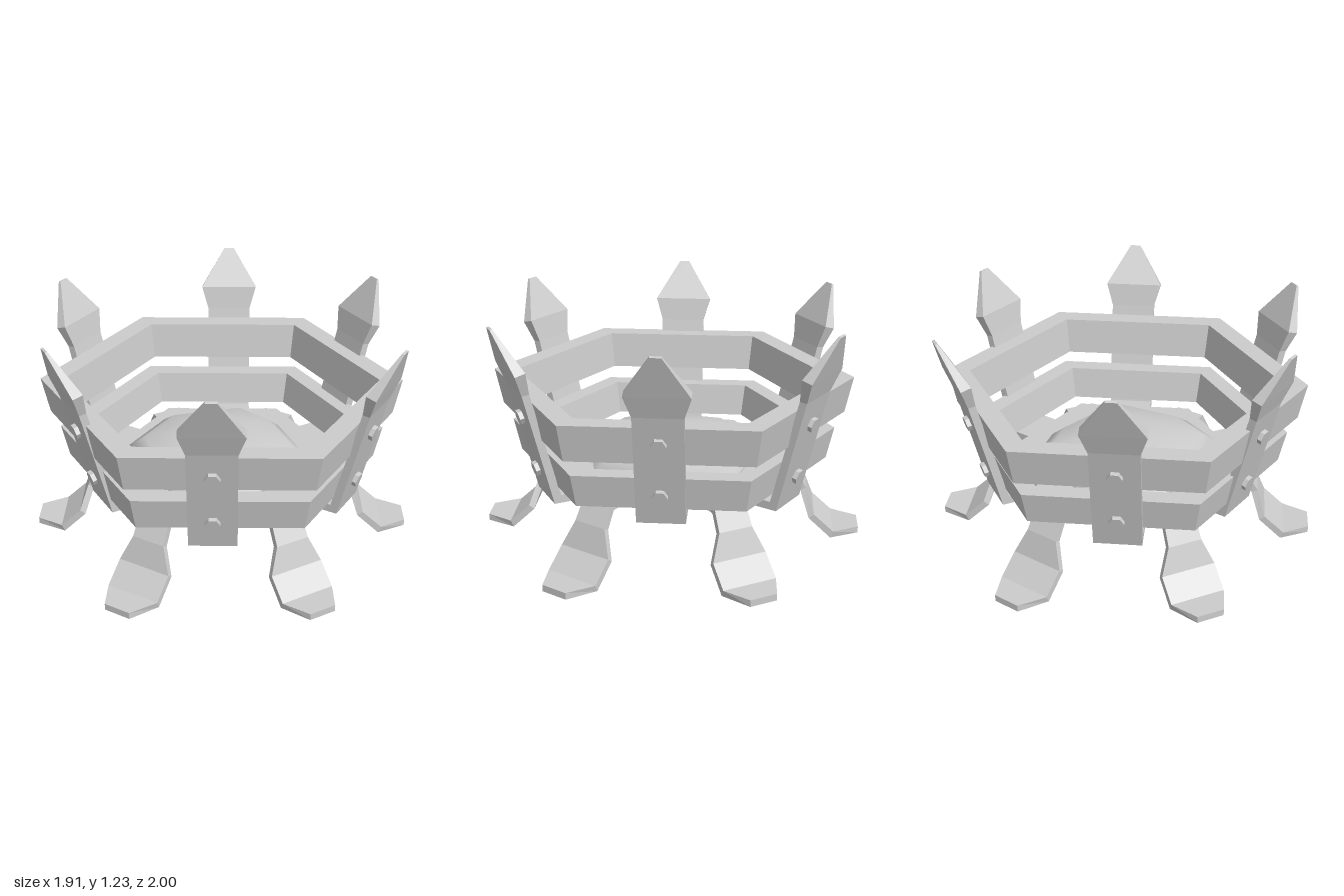
import * as THREE from 'three';

const flat = new THREE.MeshStandardMaterial({ color: 0xcccccc, flatShading: true });
const smooth = new THREE.MeshStandardMaterial({ color: 0xcccccc });
const deg = Math.PI / 180;

function add(parent, name, geometry, material = flat) {
  const mesh = new THREE.Mesh(geometry, material);
  mesh.name = name;
  parent.add(mesh);
  return mesh;
}

// Forged strap swept through sections [outer z, outer y, inner z, inner y, half width]
function strap(sections) {
  const pos = [];
  const rings = sections.map(([zo, yo, zi, yi, w]) => [[-w, yo, zo], [w, yo, zo], [w, yi, zi], [-w, yi, zi]]);
  const quad = (a, b, c, d) => pos.push(...a, ...b, ...c, ...a, ...c, ...d);
  for (let i = 0; i < rings.length - 1; i++) {
    const a = rings[i], b = rings[i + 1];
    for (let j = 0; j < 4; j++) {
      const k = (j + 1) % 4;
      quad(a[j], a[k], b[k], b[j]);
    }
  }
  const first = rings[0], last = rings[rings.length - 1];
  quad(first[3], first[2], first[1], first[0]);
  quad(...last);
  const g = new THREE.BufferGeometry();
  g.setAttribute('position', new THREE.Float32BufferAttribute(pos, 3));
  g.computeVertexNormals();
  return g;
}

// Six-sided band or plate from a closed (radius, y) profile, corners on +z and -z
const hexBand = (profile) =>
  new THREE.LatheGeometry([...profile, profile[0]].map(([r, y]) => new THREE.Vector2(r, y)), 6);

// Smooth mound: one irregular outline repeated at several scales and heights
function mound(outline, levels, topY) {
  const n = outline.length, pos = [], index = [];
  for (const [s, y] of levels) for (const [x, z] of outline) pos.push(x * s, y, z * s);
  const top = pos.length / 3;
  pos.push(0, topY, 0);
  for (let j = 0; j < n; j++) {
    const k = (j + 1) % n;
    for (let l = 0; l < levels.length - 1; l++) {
      const a = l * n + j, b = l * n + k;
      index.push(a, b, b + n, a, b + n, a + n);
    }
    const base = (levels.length - 1) * n;
    index.push(base + j, base + k, top);
  }
  const g = new THREE.BufferGeometry();
  g.setAttribute('position', new THREE.Float32BufferAttribute(pos, 3));
  g.setIndex(index);
  g.computeVertexNormals();
  return g;
}

export function createModel() {
  const model = new THREE.Group();
  model.name = 'fireBasket';

  // Flared hexagonal hoops
  add(model, 'upperHoop', hexBand([[0.9, 0.66], [0.94, 0.85], [0.82, 0.85], [0.785, 0.66]]));
  add(model, 'lowerHoop', hexBand([[0.815, 0.4], [0.853, 0.57], [0.748, 0.57], [0.71, 0.4]]));

  // Floor plate and coal bed
  add(model, 'floorPlate', hexBand([[0, 0.355], [0.63, 0.355], [0.63, 0.392], [0, 0.392]]));
  const outline = [[-0.1, 0.455], [0.35, 0.37], [0.42, -0.1], [0.34, -0.35], [-0.1, -0.475],
    [-0.41, -0.3], [-0.465, 0], [-0.38, 0.35]];
  add(model, 'coalBed', mound(outline, [[0.95, 0.37], [1, 0.42], [0.82, 0.48], [0.45, 0.515]], 0.525), smooth);

  // Spear-headed uprights, bent inward under the floor
  const uprightGeometry = strap([
    [0.4, 0.32, 0.4, 0.362, 0.12],
    [0.7, 0.32, 0.665, 0.362, 0.12],
    [0.845, 0.91, 0.807, 0.915, 0.12],
    [0.885, 1.02, 0.832, 1.035, 0.155],
    [0.956, 1.228, 0.944, 1.233, 0.027],
  ]);
  const boltGeometry = new THREE.CylinderGeometry(0.038, 0.038, 0.04, 6)
    .rotateY(30 * deg).rotateX(90 * deg + 0.24);
  for (const angle of [30, 90, 150, 210, 270, 330]) {
    const holder = new THREE.Group();
    holder.name = 'upright';
    holder.rotation.y = angle * deg;
    const upright = new THREE.Group();
    upright.name = 'uprightBar';
    // Corner uprights sit slightly outward and sideways
    if (angle % 180 !== 90) {
      const side = Math.sign(Math.sin(2 * angle * deg));
      upright.position.set(0.035 * side, -0.012, 0.025);
    }
    add(upright, 'spearStrap', uprightGeometry);
    for (const [y, z] of [[0.767, 0.812], [0.48, 0.742]]) {
      add(upright, 'bolt', boltGeometry).position.set(0, y, z);
    }
    holder.add(upright);
    model.add(holder);
  }

  // Splayed feet between the uprights
  const legGeometry = strap([
    [1.0, 0.035, 1.0, 0, 0.072],
    [0.865, 0.035, 0.85, 0, 0.145],
    [0.76, 0.13, 0.732, 0.11, 0.145],
    [0.715, 0.26, 0.685, 0.245, 0.09],
    [0.65, 0.366, 0.63, 0.328, 0.085],
    [0.4, 0.366, 0.4, 0.328, 0.085],
  ]);
  for (let i = 0; i < 6; i++) {
    add(model, 'leg', legGeometry).rotation.y = i * 60 * deg;
  }
  return model;
}
